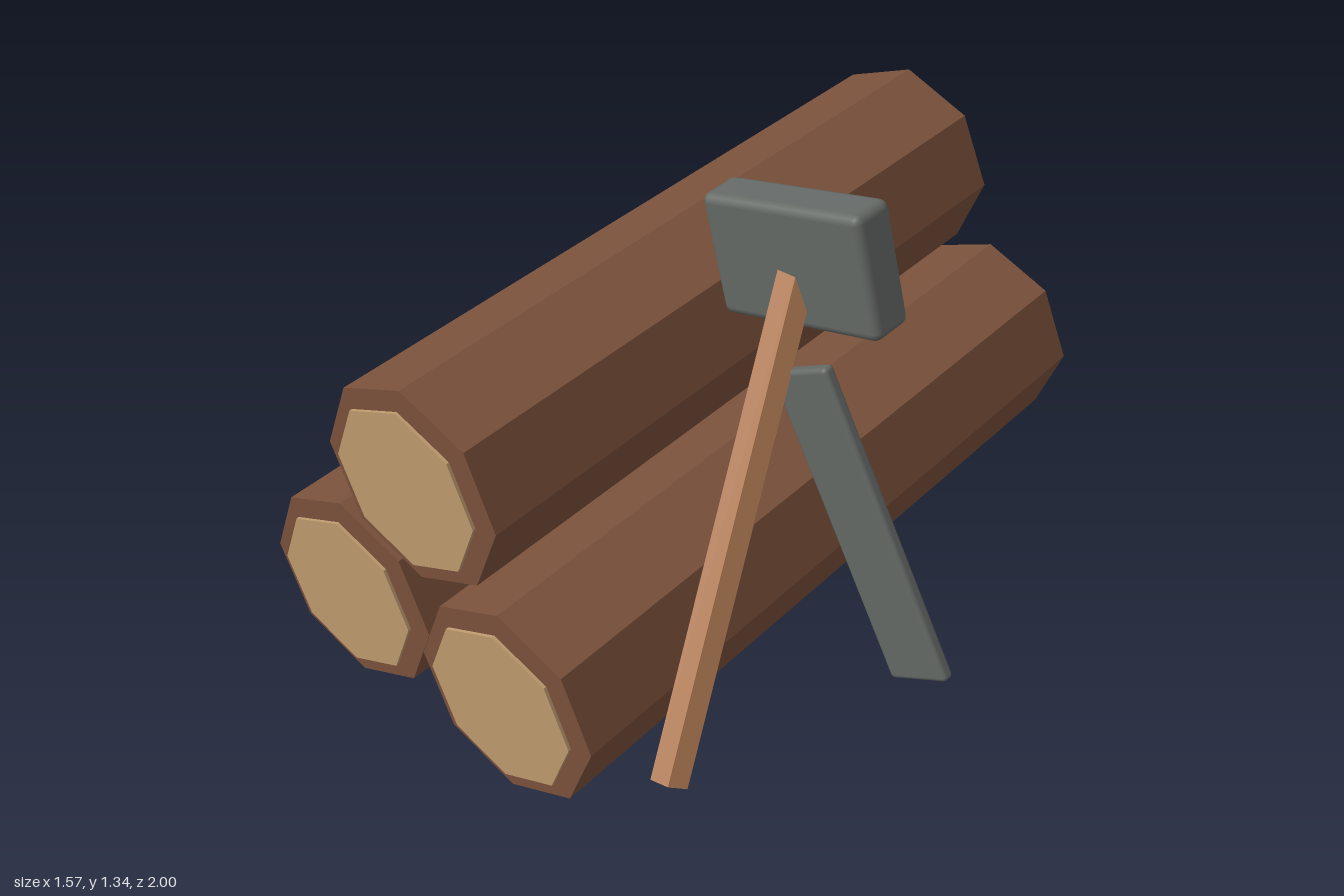
import * as THREE from 'three';
import { RoundedBoxGeometry } from 'three/addons/geometries/RoundedBoxGeometry.js';

const material = (name, color, flatShading = true) => {
  const m = new THREE.MeshStandardMaterial({ color, flatShading });
  m.name = name;
  return m;
};

export function createModel() {
  const bark = material('bark', 0x7c523d);
  const cutWood = material('cut wood', 0xbf9c6e);
  const handleWood = material('handle wood', 0xb07a54);
  const steel = material('steel', 0x656a67, false);

  const model = new THREE.Group();
  model.name = 'logsAndTools';

  const add = (parent, name, geometry, mat, x, y, z) => {
    const mesh = new THREE.Mesh(geometry, mat);
    mesh.name = name;
    mesh.position.set(x, y, z);
    parent.add(mesh);
    return mesh;
  };

  // Octagonal prism lying along z with a corner at the top
  const prism = (radius, length) =>
    new THREE.CylinderGeometry(radius, radius, length, 8).rotateX(Math.PI / 2);

  // Stacked logs, each with a thin cut face just off either end
  const logs = [
    ['leftLog', 0.04, 0.266, 0.98],
    ['rightLog', -0.523, 0.266, 0.932],
    ['topLog', -0.24, 0.735, 0.947],
  ];
  for (const [name, x, y, half] of logs) {
    const log = new THREE.Group();
    log.name = name;
    log.position.set(x, y, 0);
    add(log, 'bark', prism(0.266, half * 2), bark, 0, 0, 0);
    for (const side of [-1, 1]) {
      add(log, side > 0 ? 'frontCut' : 'backCut', prism(0.216, 0.008), cutWood,
        0, 0, side * (half + 0.016));
    }
    model.add(log);
  }

  // Hammer handle: hexagonal bar leaning from the front up into the head
  const low = new THREE.Vector3(0.4, 0.122, 0.828);
  const high = new THREE.Vector3(0.237, 1.187, 0.13);
  const axis = high.clone().sub(low);
  const length = axis.length();
  axis.normalize();
  const side = new THREE.Vector3(1, 0, 0).addScaledVector(axis, -axis.x).normalize();
  const across = new THREE.Vector3().crossVectors(axis, side);
  const mid = low.clone().add(high).multiplyScalar(0.5);
  const handle = add(model, 'hammerHandle',
    new THREE.CylinderGeometry(0.05, 0.05, length, 6), handleWood, mid.x, mid.y, mid.z);
  handle.quaternion.setFromRotationMatrix(
    new THREE.Matrix4().makeBasis(across, axis, side));

  // Hammer head with softened edges
  const head = add(model, 'hammerHead',
    new RoundedBoxGeometry(0.452, 0.305, 0.12, 2, 0.022), steel, 0.252, 1.145, 0.158);
  head.rotation.z = 0.232;

  // Flat steel blade beside the handle
  const blade = add(model, 'blade',
    new RoundedBoxGeometry(0.172, 0.815, 0.034, 2, 0.012), steel, 0.528, 0.59, 0.283);
  blade.rotation.z = 0.472;

  return model;
}
